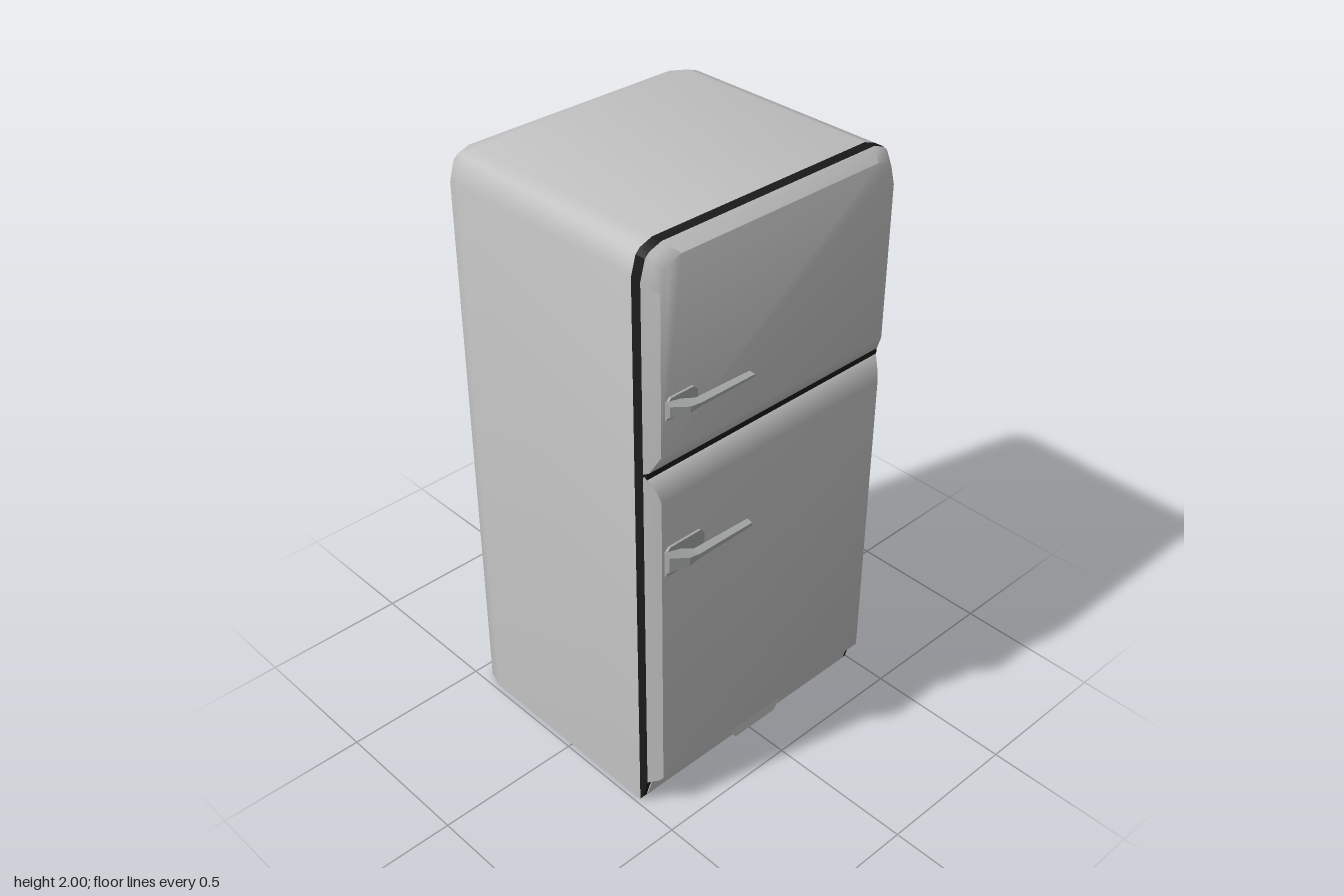
import * as THREE from 'three';
import { toCreasedNormals } from 'three/addons/utils/BufferGeometryUtils.js';

const mat = (name, color) => {
  const m = new THREE.MeshStandardMaterial({ color });
  m.name = name;
  return m;
};

// Skin over convex rings of equal length, counter-clockwise seen from the end they advance to
function loft(rings, crease) {
  const n = rings[0].length, last = (rings.length - 1) * n, index = [];
  for (let i = 0; i < rings.length - 1; i++) {
    for (let j = 0; j < n; j++) {
      const k = (j + 1) % n, a = i * n, b = a + n;
      index.push(a + j, a + k, b + k, a + j, b + k, b + j);
    }
  }
  for (let j = 1; j < n - 1; j++) {
    index.push(0, j + 1, j, last, last + j, last + j + 1);
  }
  const g = new THREE.BufferGeometry();
  g.setAttribute('position', new THREE.Float32BufferAttribute(rings.flat(2), 3));
  g.setIndex(index);
  return toCreasedNormals(g, crease);
}

// Outline at depth z: square at the bottom, faceted round corners at the top
function arch(w, bottom, top, z) {
  const corner = [[0, 0.09], [0.017, 0.03], [0.032, 0.015], [0.075, 0]];
  const right = corner.map(([dx, dy]) => [w - dx, top - dy, z]);
  const left = right.map(([x, y]) => [-x, y, z]).reverse();
  return [[-w, bottom, z], [w, bottom, z], ...right, ...left];
}

const rect = (w, bottom, top, z) =>
  [[-w, bottom, z], [w, bottom, z], [w, top, z], [-w, top, z]];

export function createModel() {
  const root = new THREE.Group();
  root.name = 'refrigerator';
  const enamel = mat('grey enamel', 0xc2c2c2);
  const rubber = mat('black rubber', 0x1a1a1a);
  const metal = mat('handle metal', 0xa3a6a5);

  const add = (name, geometry, material, parent = root) => {
    const m = new THREE.Mesh(geometry, material);
    m.name = name;
    parent.add(m);
    return m;
  };

  // Cabinet with softened back edges
  add('cabinet', loft([
    arch(0.42, 0, 1.94, -0.468),
    arch(0.465, 0, 1.983, -0.45),
    arch(0.483, 0, 2, -0.39),
    arch(0.483, 0, 2, 0.335),
  ], 0.9), enamel);

  // Door seal, sloping back below the lower door
  add('doorSeal', loft([
    arch(0.483, 0, 2, 0.335),
    arch(0.483, 0.015, 2, 0.345),
    arch(0.483, 0.1, 2, 0.37),
  ], 0.5), rubber);
  const gap = add('doorGap', new THREE.BoxGeometry(0.956, 0.02, 0.015), rubber);
  gap.position.set(0, 1.3, 0.374);

  // Doors
  add('freezerDoor', loft([
    arch(0.483, 1.305, 2, 0.37),
    arch(0.474, 1.312, 1.991, 0.385),
    arch(0.455, 1.37, 1.972, 0.414),
  ], 0.9), enamel);
  add('fridgeDoor', loft([
    rect(0.483, 0.1, 1.295, 0.37),
    rect(0.474, 0.11, 1.285, 0.385),
    rect(0.462, 0.12, 1.25, 0.404),
    rect(0.455, 0.135, 1.215, 0.414),
  ], 0.9), enamel);

  // Kick plate following the slope, with a raised centre panel
  add('kickPlate', loft([
    [[-0.465, 0.02, 0.343], [0.465, 0.02, 0.343], [0.465, 0.096, 0.366], [-0.465, 0.096, 0.366]],
    [[-0.465, 0.02, 0.35], [0.465, 0.02, 0.35], [0.465, 0.096, 0.373], [-0.465, 0.096, 0.373]],
  ], 0.5), enamel);
  add('kickPanel', loft([
    [[-0.09, 0.035, 0.352], [0.09, 0.035, 0.352], [0.135, 0.094, 0.368], [-0.135, 0.094, 0.368]],
    [[-0.09, 0.035, 0.374], [0.09, 0.035, 0.374], [0.135, 0.094, 0.374], [-0.135, 0.094, 0.374]],
  ], 0.5), enamel);

  // Handles: a mounting plate and a tapered lever reaching towards the middle
  const addHandle = (name, y, x0, x1, halfHeight, tip, thick) => {
    const g = new THREE.Group();
    g.name = name;
    g.position.y = y;
    root.add(g);
    const c = 0.015, h = halfHeight;
    const plate = new THREE.Shape([
      [x0, -h], [x1 - c, -h], [x1, -h + c], [x1, h - c],
      [x1 - c, h], [x0 + c, h], [x0, h - c],
    ].map(([x, v]) => new THREE.Vector2(x, v)));
    const plateGeo = new THREE.ExtrudeGeometry(plate, { depth: 0.012, bevelEnabled: false });
    add('handlePlate', plateGeo.translate(0, 0, 0.41), metal, g);

    // Lever stations: x, half height, back z, front z
    const stations = [
      [x0, h * 0.85, 0.418, 0.434],
      [-0.39, h * 0.5, 0.422, 0.462],
      [-0.35, thick * 1.3, 0.437, 0.462],
      [tip, thick, 0.441, 0.461],
    ];
    add('handleLever', loft(stations.map(([x, v, zb, zf]) =>
      [[x, -v, zb], [x, v, zb], [x, v * 0.6, zf], [x, -v * 0.6, zf]]), 0.4), metal, g);
  };
  addHandle('freezerHandle', 1.522, -0.44, -0.325, 0.034, -0.145, 0.007);
  addHandle('fridgeHandle', 1, -0.445, -0.295, 0.05, -0.137, 0.01);

  return root;
}
